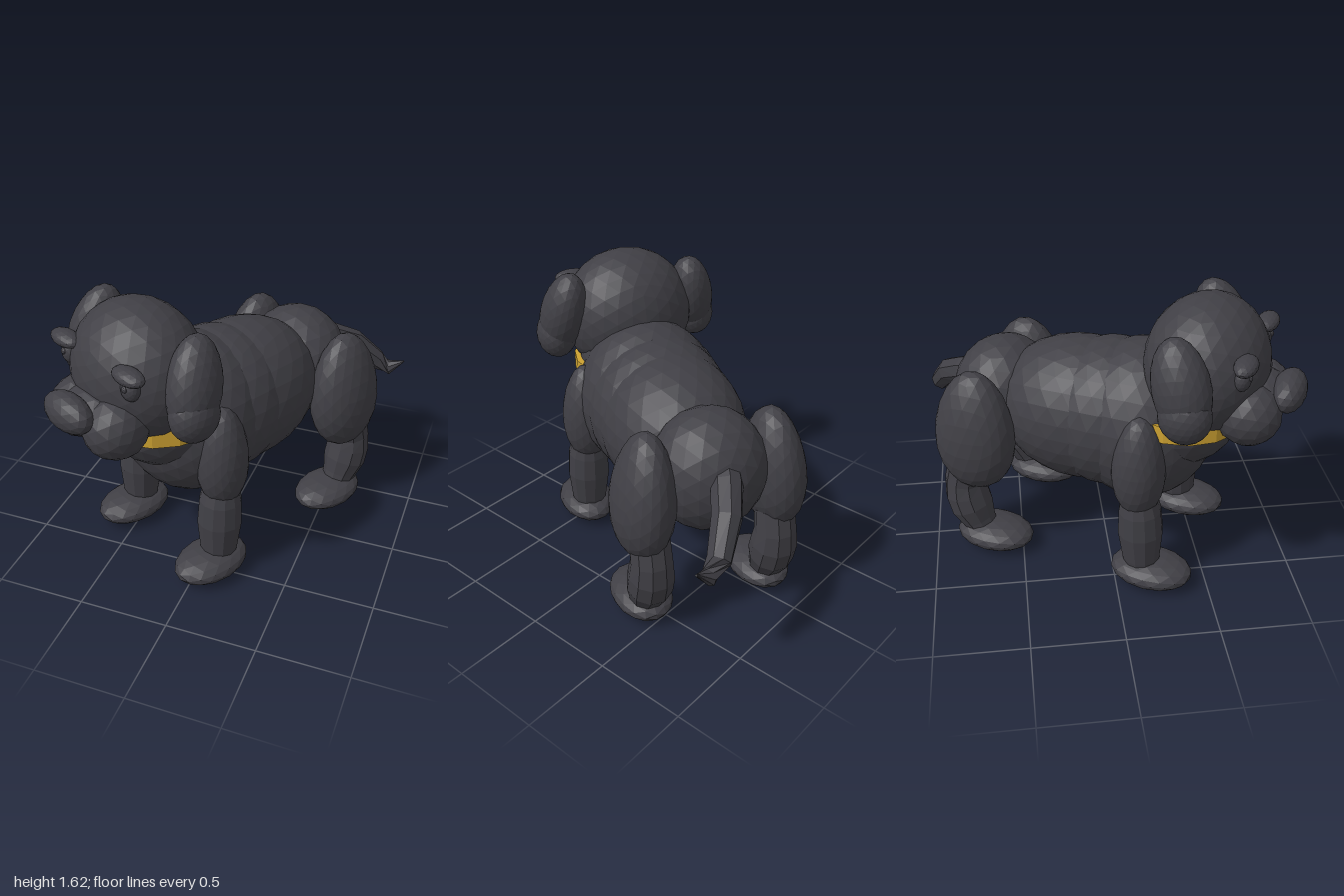
import * as THREE from 'three';

export function createModel() {
  const fur = new THREE.MeshStandardMaterial({ color: 0x403f45, flatShading: true });
  fur.name = 'charcoal fur';
  const gold = new THREE.MeshStandardMaterial({ color: 0xcda232, flatShading: true });
  gold.name = 'gold';

  const model = new THREE.Group();
  model.name = 'dog';
  const dog = new THREE.Group(); // turned body: local +z is the way the dog faces
  dog.name = 'dogBody';
  dog.rotation.y = -THREE.MathUtils.degToRad(27.1);
  dog.position.set(-0.045, 0, -0.023);
  model.add(dog);

  const add = (name, geometry, material = fur) => {
    const mesh = new THREE.Mesh(geometry, material);
    mesh.name = name;
    dog.add(mesh);
    return mesh;
  };

  // Faceted ellipsoid; flare widens the lower end and narrows the upper one
  const blob = (name, pos, size, detail = 3, flare = 0) => {
    const g = new THREE.IcosahedronGeometry(1, detail);
    const p = g.attributes.position;
    for (let i = 0; i < p.count; i++) {
      const k = 1 - flare * p.getY(i);
      p.setX(i, p.getX(i) * k);
      p.setZ(i, p.getZ(i) * k);
    }
    g.scale(...size);
    g.computeVertexNormals();
    const mesh = add(name, g);
    mesh.position.set(...pos);
    return mesh;
  };

  // Closed limb through cross-sections given as [x, y, z, radius]
  const loft = (name, rings, sides) => {
    const pts = rings.map(r => new THREE.Vector3(r[0], r[1], r[2]));
    const pos = [], idx = [], last = rings.length - 1;
    pts.forEach((p, i) => {
      const t = pts[Math.min(i + 1, last)].clone().sub(pts[Math.max(i - 1, 0)]).normalize();
      const side = new THREE.Vector3(1, 0, 0).addScaledVector(t, -t.x).normalize();
      const up = t.clone().cross(side);
      for (let j = 0; j < sides; j++) {
        const a = (j / sides) * Math.PI * 2;
        const v = p.clone().addScaledVector(side, Math.cos(a) * rings[i][3])
          .addScaledVector(up, Math.sin(a) * rings[i][3]);
        pos.push(v.x, v.y, v.z);
      }
    });
    pos.push(...pts[0].toArray(), ...pts[last].toArray());
    const c0 = rings.length * sides, c1 = c0 + 1;
    for (let j = 0; j < sides; j++) {
      const k = (j + 1) % sides;
      for (let i = 0; i < last; i++) {
        const a = i * sides + j, b = i * sides + k;
        idx.push(a, b, b + sides, a, b + sides, a + sides);
      }
      idx.push(c0, k, j, c1, last * sides + j, last * sides + k);
    }
    const g = new THREE.BufferGeometry();
    g.setAttribute('position', new THREE.Float32BufferAttribute(pos, 3));
    g.setIndex(idx);
    g.computeVertexNormals();
    return add(name, g);
  };

  // Torso
  blob('chest', [0, 0.845, 0.25], [0.415, 0.46, 0.41], 4);
  blob('ribs', [0, 0.85, 0.07], [0.408, 0.425, 0.4], 4);
  blob('belly', [0, 0.84, -0.1], [0.395, 0.412, 0.51], 4);
  blob('rump', [0, 0.845, -0.585], [0.315, 0.335, 0.295]);
  blob('neck', [0, 0.975, 0.46], [0.33, 0.33, 0.33]);

  // Head and muzzle
  blob('head', [0, 1.25, 0.59], [0.385, 0.375, 0.33], 4);
  blob('muzzleBridge', [0, 1.13, 0.87], [0.2, 0.12, 0.16], 2);
  blob('chin', [0, 1.03, 0.86], [0.1, 0.07, 0.1], 2);
  blob('nose', [0, 1.172, 1.025], [0.17, 0.1, 0.09], 2);
  blob('mouth', [0, 1.075, 1.0], [0.045, 0.015, 0.03], 1);

  for (const s of [1, -1]) {
    const side = s > 0 ? 'left' : 'right';
    // Face
    blob(side + 'Jowl', [s * 0.137, 1.075, 0.85], [0.168, 0.168, 0.175], 2);
    blob(side + 'Eye', [s * 0.245, 1.33, 0.825], [0.055, 0.065, 0.045], 2);
    blob(side + 'Pupil', [s * 0.25, 1.345, 0.865], [0.018, 0.018, 0.012], 1);
    blob(side + 'Brow', [s * 0.255, 1.41, 0.84], [0.105, 0.042, 0.06], 2);

    // Ear: hanging flap with a rounded lower lobe
    const ear = blob(side + 'Ear', [s * 0.397, 1.315, 0.56], [0.13, 0.252, 0.15], 3, 0.06);
    ear.rotation.set(-0.28, 0, s * 0.17);
    blob(side + 'EarLobe', [s * 0.435, 1.175, 0.597], [0.116, 0.145, 0.138], 3);

    // Front leg
    blob(side + 'Shoulder', [s * 0.35, 0.76, 0.342], [0.143, 0.305, 0.145], 3, 0.1);
    loft(side + 'ForeLeg', [
      [s * 0.35, 0.09, 0.375, 0.09], [s * 0.35, 0.17, 0.37, 0.105],
      [s * 0.35, 0.34, 0.362, 0.125], [s * 0.35, 0.48, 0.355, 0.118],
      [s * 0.35, 0.6, 0.345, 0.09],
    ], 12);
    blob(side + 'FrontPaw', [s * 0.35, 0.088, 0.43], [0.163, 0.083, 0.232], 2);

    // Hind leg
    const thigh = blob(side + 'Thigh', [s * 0.368, 0.782, -0.605], [0.163, 0.357, 0.232], 3, 0.13);
    thigh.rotation.z = s * 0.07;
    loft(side + 'Hock', [
      [s * 0.36, 0.08, -0.59, 0.08], [s * 0.36, 0.16, -0.63, 0.1],
      [s * 0.36, 0.25, -0.67, 0.127], [s * 0.36, 0.34, -0.695, 0.127],
      [s * 0.36, 0.43, -0.7, 0.115], [s * 0.36, 0.56, -0.67, 0.11],
    ], 10);
    blob(side + 'HindPaw', [s * 0.355, 0.088, -0.53], [0.163, 0.083, 0.232], 2);
  }

  // Tail sweeping back, with an upturned tip
  loft('tail', [
    [-0.01, 0.95, -0.74, 0.08], [0.025, 0.91, -0.85, 0.083], [0.095, 0.835, -1.0, 0.078],
    [0.19, 0.7, -1.125, 0.064], [0.265, 0.655, -1.17, 0.045], [0.344, 0.72, -1.205, 0.006],
  ], 8);

  // Collar band and tag
  add('collar', new THREE.CylinderGeometry(0.356, 0.356, 0.095, 16), gold).position.set(0, 0.985, 0.47);
  const tag = add('collarTag', new THREE.SphereGeometry(1, 16, 12), gold);
  tag.scale.set(0.05, 0.062, 0.028);
  tag.position.set(0, 0.897, 0.838);

  return model;
}
